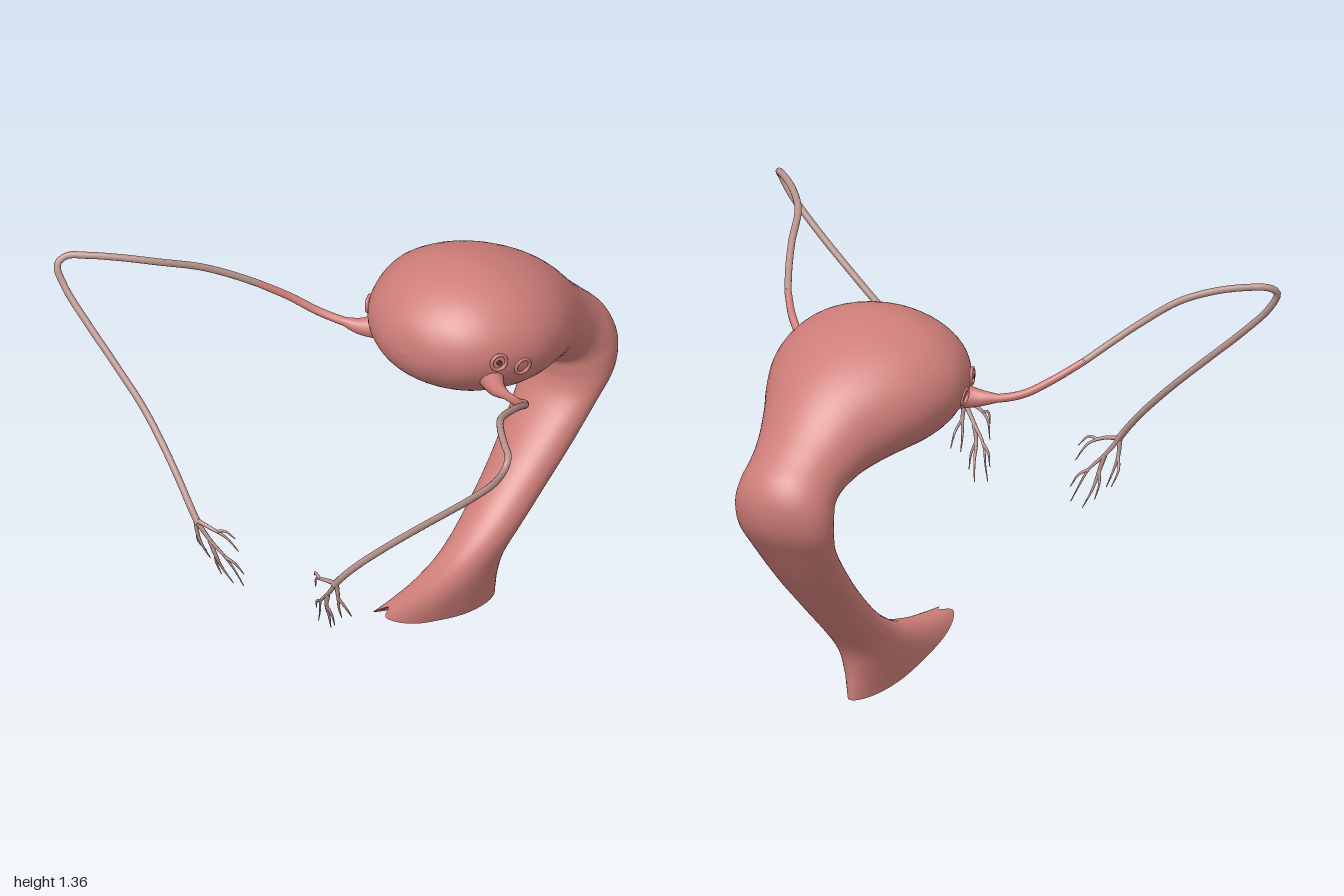
import * as THREE from 'three';

const flesh = new THREE.MeshStandardMaterial({ color: 0xcd7d78 });
flesh.name = 'flesh';
const paleFlesh = new THREE.MeshStandardMaterial({ color: 0xb8938b });
paleFlesh.name = 'paleFlesh';
const dark = new THREE.MeshStandardMaterial({ color: 0x5e3d3a });
dark.name = 'darkHollow';

function mesh(name, geometry, material) {
  const m = new THREE.Mesh(geometry, material);
  m.name = name;
  return m;
}

// Lofts oval rings; station = [upper z, upper y, lower z, lower y, half width, flare]
// Flare squares the front of the ring, notches it and bows its sides down.
function loft(stations, rows, cols = 48) {
  const curve = (f) => new THREE.CatmullRomCurve3(stations.map(f), false, 'catmullrom', 0.5);
  const upper = curve((s) => new THREE.Vector3(s[4], s[1], s[0]));
  const lower = curve((s) => new THREE.Vector3(s[5] || 0, s[3], s[2]));
  const pos = [], index = [];
  for (let i = 0; i <= rows; i++) {
    const A = upper.getPoint(i / rows), B = lower.getPoint(i / rows);
    const w = Math.max(A.x, 0), f = THREE.MathUtils.clamp(B.x, 0, 1);
    for (let j = 0; j < cols; j++) {
      const t = (j / cols) * Math.PI * 2, s = Math.sin(t);
      let c = Math.cos(t);
      const x = w * s;
      let notch = 0;
      if (c > 0) {
        c = Math.pow(c, 1 - 0.45 * f);
        notch = f * 0.065 * Math.exp(-((x / 0.018) ** 2));
      }
      pos.push(x,
        (A.y + B.y) / 2 + ((B.y - A.y) / 2) * c - f * 0.035 * s * s,
        (A.z + B.z) / 2 + ((B.z - A.z) / 2) * c - notch);
      if (i < rows) {
        const a = i * cols + j, d = i * cols + (j + 1) % cols;
        index.push(a, a + cols, d, a + cols, d + cols, d);
      }
    }
  }
  const g = new THREE.BufferGeometry();
  g.setAttribute('position', new THREE.Float32BufferAttribute(pos, 3));
  g.setIndex(index);
  g.computeVertexNormals();
  return g;
}

// Round tube whose radius runs from r0 to r1, mirrored by side
function taperedTube(points, side, r0, r1, segs, sides = 10) {
  const curve = new THREE.CatmullRomCurve3(points.map((p) => new THREE.Vector3(p[0] * side, p[1], p[2])));
  const g = new THREE.TubeGeometry(curve, segs, 1, sides, false);
  const p = g.attributes.position, v = new THREE.Vector3();
  for (let i = 0; i <= segs; i++) {
    const c = curve.getPointAt(i / segs), r = r0 + (r1 - r0) * (i / segs);
    for (let j = 0; j <= sides; j++) {
      const k = i * (sides + 1) + j;
      v.fromBufferAttribute(p, k).sub(c).multiplyScalar(r).add(c);
      p.setXYZ(k, v.x, v.y, v.z);
    }
  }
  return g;
}

const bodyStations = [
  [0.135, 1.1, 0.135, 1.1, 0], [0.125, 1.16, 0.125, 1.05, 0.09],
  [0.1, 1.21, 0.1, 1.005, 0.155], [0.05, 1.26, 0.05, 0.96, 0.23],
  [-0.03, 1.305, -0.03, 0.915, 0.29], [-0.13, 1.33, -0.13, 0.885, 0.327],
  [-0.22, 1.325, -0.22, 0.873, 0.333], [-0.33, 1.295, -0.31, 0.868, 0.31],
  [-0.44, 1.24, -0.39, 0.855, 0.265], [-0.54, 1.165, -0.46, 0.832, 0.215],
  [-0.64, 1.06, -0.52, 0.805, 0.18], [-0.72, 0.985, -0.55, 0.785, 0.168],
  [-0.79, 0.915, -0.565, 0.77, 0.172], [-0.82, 0.83, -0.57, 0.745, 0.178],
  [-0.8, 0.73, -0.57, 0.7, 0.173], [-0.73, 0.63, -0.545, 0.64, 0.155],
  [-0.62, 0.49, -0.47, 0.55, 0.135], [-0.5, 0.36, -0.36, 0.43, 0.115],
  [-0.4, 0.255, -0.22, 0.3, 0.1], [-0.335, 0.17, -0.08, 0.215, 0.085, 0.1],
  [-0.315, 0.09, 0.06, 0.178, 0.077, 0.3], [-0.312, 0.04, 0.17, 0.166, 0.072, 0.6],
  [-0.31, 0, 0.27, 0.16, 0.068, 1],
];
// Hollow that starts at the rim and runs up inside
const canalStations = [
  [-0.31, 0, 0.27, 0.16, 0.068, 1], [-0.285, 0.03, 0.18, 0.145, 0.055, 0.7],
  [-0.3, 0.12, 0.02, 0.165, 0.045, 0.3], [-0.35, 0.22, -0.2, 0.255, 0.04, 0],
  [-0.43, 0.33, -0.43, 0.33, 0, 0],
];

const rootPath = [
  [0.24, 1.035, -0.03], [0.3, 1.028, 0.005], [0.36, 1.033, 0.025], [0.44, 1.055, 0.06],
  [0.52, 1.105, 0.115], [0.59, 1.16, 0.19],
];
const armPath = [
  [0.59, 1.16, 0.19], [0.64, 1.21, 0.27], [0.69, 1.258, 0.36], [0.76, 1.312, 0.5],
  [0.84, 1.336, 0.59], [0.92, 1.344, 0.66], [0.975, 1.34, 0.705], [0.988, 1.315, 0.735],
  [0.95, 1.25, 0.742], [0.85, 1.15, 0.742], [0.72, 1.035, 0.742], [0.6, 0.93, 0.747],
  [0.5, 0.84, 0.765], [0.4, 0.745, 0.79], [0.34, 0.68, 0.805], [0.3, 0.63, 0.81],
];
// Branching fingers at the arm's end
const fingers = [
  [[0.31, 0.64, 0.81], [0.25, 0.63, 0.805], [0.2, 0.605, 0.785], [0.17, 0.55, 0.755]],
  [[0.23, 0.622, 0.8], [0.2, 0.63, 0.79], [0.175, 0.6, 0.765]],
  [[0.31, 0.64, 0.81], [0.26, 0.575, 0.795], [0.21, 0.52, 0.775], [0.185, 0.46, 0.75], [0.165, 0.41, 0.735]],
  [[0.21, 0.52, 0.775], [0.18, 0.5, 0.76], [0.16, 0.46, 0.74]],
  [[0.26, 0.575, 0.795], [0.245, 0.52, 0.785], [0.235, 0.46, 0.76], [0.215, 0.4, 0.73]],
  [[0.245, 0.52, 0.785], [0.255, 0.48, 0.77], [0.25, 0.43, 0.75]],
  [[0.31, 0.64, 0.81], [0.31, 0.58, 0.8], [0.3, 0.53, 0.785], [0.29, 0.48, 0.76]],
  [[0.31, 0.58, 0.8], [0.325, 0.54, 0.78], [0.32, 0.49, 0.745]],
];

// Small ring set on the flank, facing along the given normal
function flankRing(name, side, at, normal, hollow) {
  const ring = new THREE.Group();
  ring.name = name;
  ring.add(mesh('ringRim', new THREE.TorusGeometry(0.027, 0.006, 8, 28), flesh));
  if (hollow) {
    const spot = mesh('ringHollow', new THREE.CylinderGeometry(0.009, 0.009, 0.008, 16), dark);
    spot.rotation.x = Math.PI / 2;
    spot.position.z = 0.004;
    ring.add(spot);
  }
  ring.position.set(at[0] * side, at[1], at[2]);
  ring.quaternion.setFromUnitVectors(new THREE.Vector3(0, 0, 1),
    new THREE.Vector3(normal[0] * side, normal[1], normal[2]).normalize());
  return ring;
}

export function createModel() {
  const model = new THREE.Group();
  model.name = 'model';
  model.add(mesh('body', loft(bodyStations, 110), flesh));
  model.add(mesh('canal', loft(canalStations, 24), flesh));

  for (const side of [1, -1]) {
    const arm = new THREE.Group();
    arm.name = side > 0 ? 'leftArm' : 'rightArm';
    arm.add(mesh('armSocket', taperedTube(rootPath.slice(0, 3), side, 0.045, 0.014, 12, 16), flesh));
    arm.add(mesh('armRoot', taperedTube(rootPath, side, 0.016, 0.012, 30, 12), flesh));
    arm.add(mesh('armTube', taperedTube(armPath, side, 0.012, 0.0115, 110, 12), paleFlesh));
    fingers.forEach((path, i) =>
      arm.add(mesh('finger' + (i + 1), taperedTube(path, side, path.length > 3 ? 0.009 : 0.006, 0.0015, 16, 7), paleFlesh)));
    model.add(arm);
    model.add(flankRing('frontRing', side, [0.287, 1.11, -0.02], [1, 0, 0.45], true));
    model.add(flankRing('rearRing', side, [0.316, 1.07, -0.105], [1, -0.15, 0.25], false));
  }
  return model;
}
